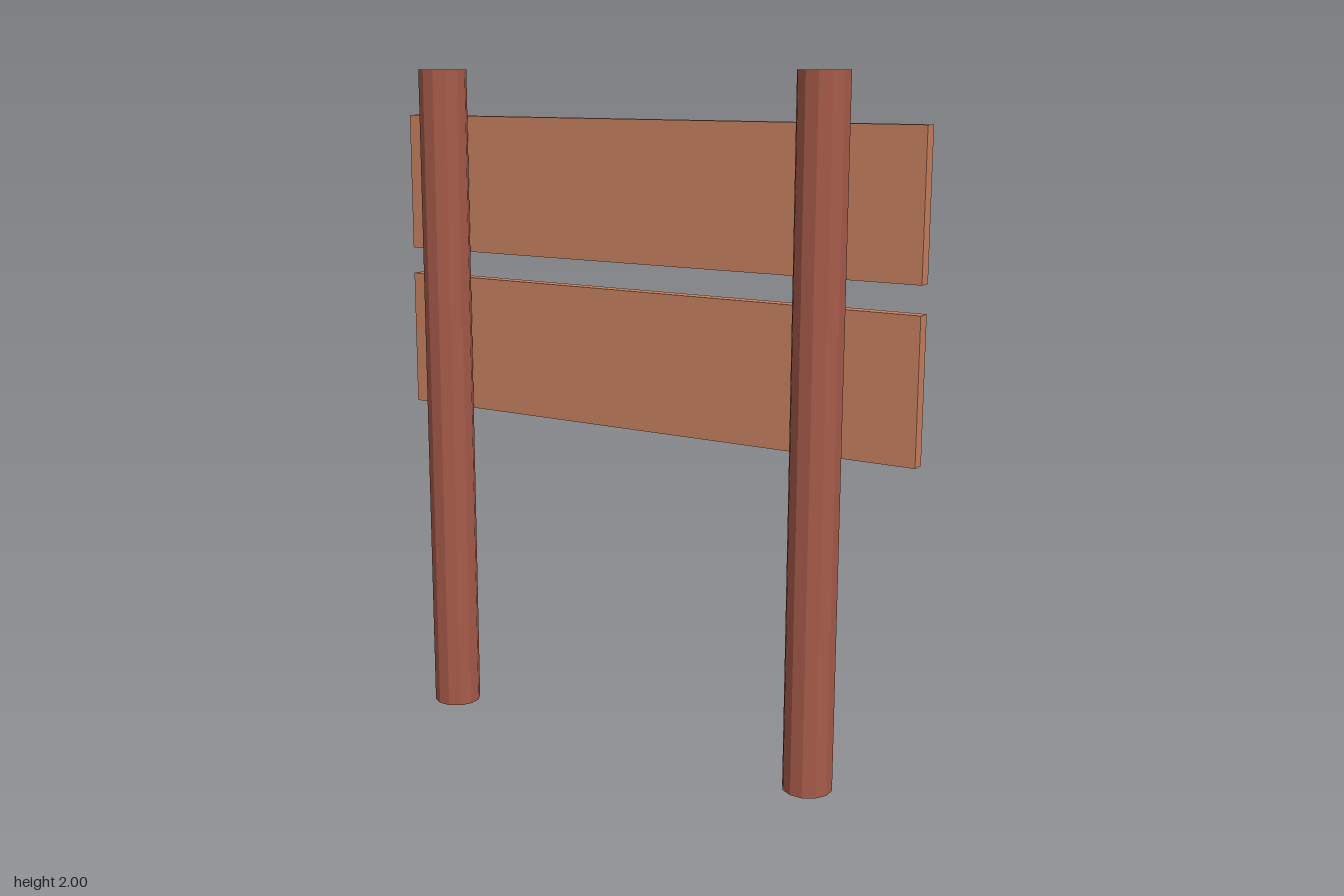
import * as THREE from 'three';

export function createModel() {
  const model = new THREE.Group();
  const postWood = new THREE.MeshStandardMaterial({ color: 0xa85c4a });
  postWood.name = 'dark red wood';
  postWood.flatShading = true;
  const boardWood = new THREE.MeshStandardMaterial({ color: 0xca8161 });
  boardWood.name = 'light wood';

  const add = (name, geometry, material, x, y, z) => {
    const mesh = new THREE.Mesh(geometry, material);
    mesh.name = name;
    mesh.position.set(x, y, z);
    model.add(mesh);
  };

  // Round posts with a flat side facing each axis
  const post = new THREE.CylinderGeometry(0.072, 0.072, 2, 12).rotateY(Math.PI / 12);
  add('rightPost', post, postWood, -0.672, 1, 0.025);
  add('leftPost', post, postWood, 0.592, 1, 0.025);

  // Two boards on the back of the posts, each held by four bolts
  const board = new THREE.BoxGeometry(1.714, 0.412, 0.04);
  const bolt = new THREE.CylinderGeometry(0.016, 0.016, 0.03, 10).rotateX(Math.PI / 2);
  for (const [name, y] of [['upper', 1.656], ['lower', 1.164]]) {
    add(name + 'Board', board, boardWood, 0, y, -0.058);
    for (const x of [-0.656, 0.582]) {
      for (const dy of [-0.156, 0.16]) add(name + 'Bolt', bolt, postWood, x, y + dy, -0.081);
    }
  }
  return model;
}
